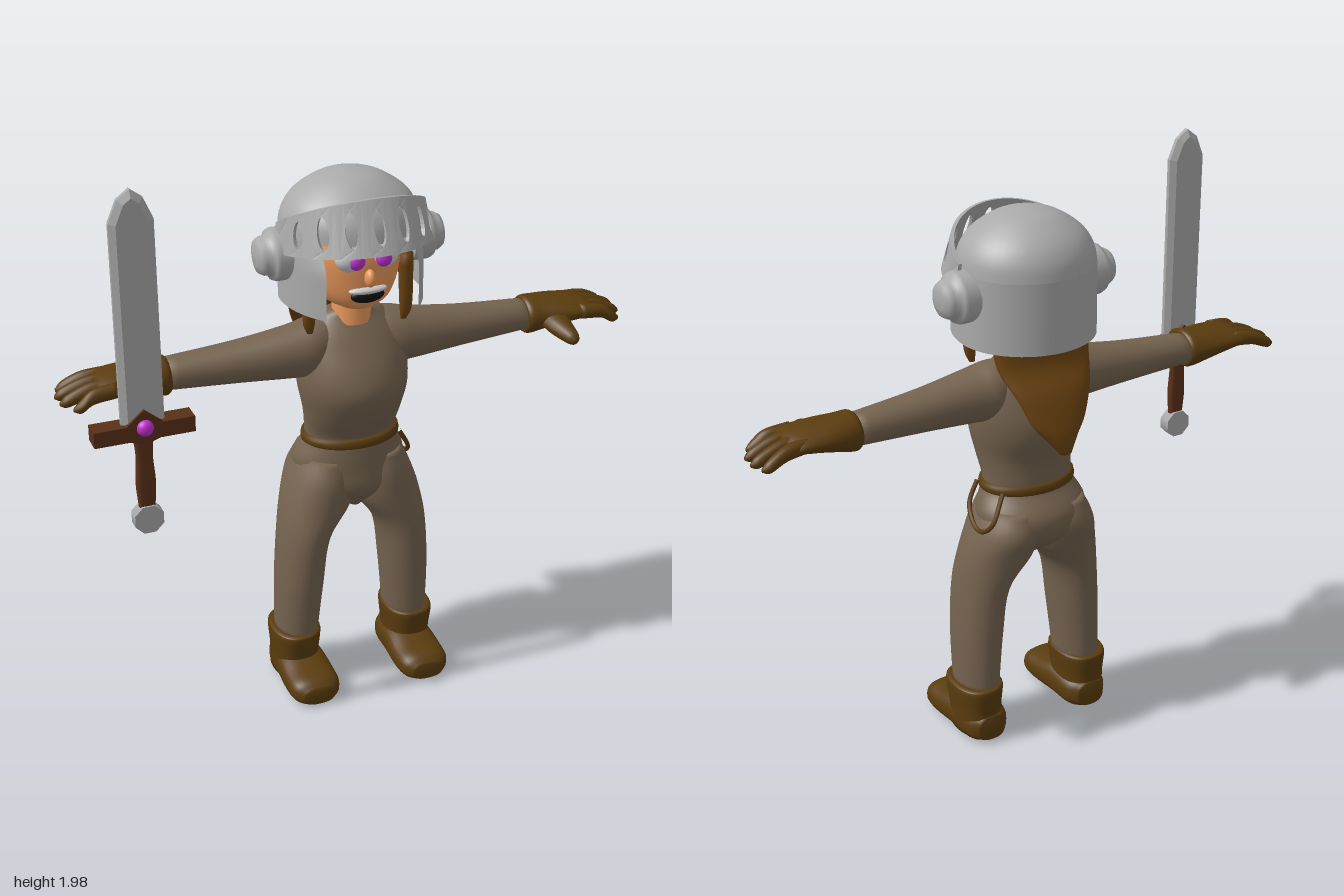
import * as THREE from 'three';
import { mergeVertices } from 'three/addons/utils/BufferGeometryUtils.js';

const COLORS = {
  suit: 0x75634f, leather: 0x5a3c0e, hair: 0x6a4210, skin: 0xe8985c, steel: 0xaaaaaa,
  wood: 0x5a3018, gem: 0xc030d0, grey: 0xcccccc, black: 0x111111,
};
const MATS = {};
for (const k in COLORS) MATS[k] = new THREE.MeshStandardMaterial({ color: COLORS[k] });
MATS.steel.side = THREE.DoubleSide;

// Smooth closed loft along an axis. Section: [t, c1, c2, r1, r2]
// (axis x: y,z   axis y: x,z   axis z: x,y); power > 1 squares the outline.
function loft(axis, sections, { sides = 28, steps = 5, square = 1 } = {}) {
  const V = (a, b, c) => new THREE.Vector3(a, b, c);
  const mid = new THREE.CatmullRomCurve3(sections.map(s => V(s[0], s[1], s[2])), false, 'catmullrom', 0.5);
  const rad = new THREE.CatmullRomCurve3(sections.map(s => V(s[3], s[4], 0)), false, 'catmullrom', 0.5);
  const n = (sections.length - 1) * steps, pos = [], idx = [];
  const put = (t, p, q) => pos.push(...(axis === 'x' ? [t, p, q] : axis === 'y' ? [p, t, q] : [p, q, t]));
  const bend = v => Math.sign(v) * Math.abs(v) ** (1 / square);
  for (let i = 0; i <= n; i++) {
    const c = mid.getPoint(i / n), r = rad.getPoint(i / n);
    for (let j = 0; j < sides; j++) {
      const a = (axis === 'y' ? -1 : 1) * j / sides * Math.PI * 2;
      put(c.x, c.y + Math.max(r.x, 0.001) * bend(Math.cos(a)), c.z + Math.max(r.y, 0.001) * bend(Math.sin(a)));
    }
  }
  for (let i = 0; i < n; i++) for (let j = 0; j < sides; j++) {
    const a = i * sides + j, b = i * sides + (j + 1) % sides;
    idx.push(a, b, b + sides, a, b + sides, a + sides);
  }
  // end caps
  const first = sections[0], last = sections[sections.length - 1], k = (n + 1) * sides;
  put(first[0], first[1], first[2]);
  put(last[0], last[1], last[2]);
  for (let j = 0; j < sides; j++) {
    const m = (j + 1) % sides;
    idx.push(k, m, j, k + 1, n * sides + j, n * sides + m);
  }
  const g = new THREE.BufferGeometry();
  g.setAttribute('position', new THREE.Float32BufferAttribute(pos, 3));
  g.setIndex(idx);
  g.computeVertexNormals();
  return g;
}

function mirrored(geo) {
  const g = geo.index ? geo.clone() : mergeVertices(geo);
  g.scale(-1, 1, 1);
  const a = g.index.array;
  for (let i = 0; i < a.length; i += 3) [a[i], a[i + 1]] = [a[i + 1], a[i]];
  return g;
}

function warp(geo, fn) {
  const p = geo.attributes.position, v = new THREE.Vector3();
  for (let i = 0; i < p.count; i++) {
    fn(v.fromBufferAttribute(p, i));
    p.setXYZ(i, v.x, v.y, v.z);
  }
  geo.computeVertexNormals();
  return geo;
}

const blob = (rx, ry, rz, x, y, z) => new THREE.SphereGeometry(1, 24, 16).scale(rx, ry, rz).translate(x, y, z);

function polygon(points, depth, z, bevel) {
  const shape = new THREE.Shape(points.map(p => new THREE.Vector2(...p)));
  return new THREE.ExtrudeGeometry(shape, { depth, bevelEnabled: !!bevel, bevelSegments: 1, ...bevel }).translate(0, 0, z);
}

export function createModel() {
  const model = new THREE.Group();
  const add = (parent, name, geo, mat) => {
    const m = new THREE.Mesh(geo, MATS[mat]);
    m.name = name;
    parent.add(m);
    return m;
  };
  const pair = (parent, name, geo, mat) => {
    add(parent, name + 'Left', geo, mat);
    add(parent, name + 'Right', mirrored(geo), mat);
  };
  const group = (name, x = 0, y = 0, z = 0) => {
    const g = new THREE.Group();
    g.name = name;
    g.position.set(x, y, z);
    model.add(g);
    return g;
  };

  // Body
  const body = group('body');
  add(body, 'torso', loft('y', [
    [0.68, 0, -0.03, 0.03, 0.06], [0.76, 0, -0.05, 0.16, 0.145], [0.85, 0, -0.06, 0.198, 0.155],
    [0.93, 0, -0.035, 0.165, 0.125], [0.97, 0, -0.035, 0.16, 0.12], [1.05, 0, -0.015, 0.17, 0.145],
    [1.14, 0, -0.012, 0.187, 0.175], [1.22, 0, -0.02, 0.19, 0.165], [1.32, 0, -0.03, 0.175, 0.115],
    [1.385, 0, -0.03, 0.12, 0.07], [1.41, 0, -0.02, 0.07, 0.055]], { sides: 40 }), 'suit');
  pair(body, 'leg', loft('y', [
    [0.18, 0.208, -0.035, 0.073, 0.1], [0.4, 0.197, -0.025, 0.083, 0.115], [0.58, 0.178, -0.025, 0.09, 0.125],
    [0.7, 0.128, -0.04, 0.122, 0.14], [0.8, 0.105, -0.058, 0.113, 0.155], [0.88, 0.09, -0.055, 0.09, 0.13]]), 'suit');
  pair(body, 'arm', loft('x', [
    [0.06, 1.29, -0.03, 0.1, 0.07], [0.14, 1.285, -0.025, 0.1, 0.095], [0.22, 1.279, -0.02, 0.089, 0.09],
    [0.4, 1.272, -0.025, 0.07, 0.075], [0.66, 1.268, -0.033, 0.052, 0.06]]), 'suit');
  add(body, 'neck', new THREE.CylinderGeometry(0.06, 0.068, 0.12, 24).translate(-0.004, 1.43, -0.01), 'skin');

  // Belt with a hanging loop
  add(body, 'belt', loft('y', [
    [0.928, 0, -0.035, 0.16, 0.12], [0.934, 0, -0.035, 0.172, 0.132],
    [0.958, 0, -0.035, 0.17, 0.13], [0.964, 0, -0.035, 0.157, 0.117]], { sides: 40, steps: 2 }), 'leather');
  const loop = [[0.155, 0.94, 0.03], [0.195, 0.87, 0.015], [0.212, 0.82, -0.04],
    [0.213, 0.81, -0.09], [0.2, 0.85, -0.14], [0.14, 0.94, -0.11]].map(p => new THREE.Vector3(...p));
  add(body, 'beltLoop', new THREE.TubeGeometry(new THREE.CatmullRomCurve3(loop), 30, 0.008, 8), 'leather');

  // Boots
  const boots = group('boots');
  pair(boots, 'bootShaft', loft('y', [
    [0.03, 0.212, -0.045, 0.08, 0.1], [0.12, 0.214, -0.038, 0.08, 0.105],
    [0.2, 0.214, -0.035, 0.086, 0.115], [0.214, 0.212, -0.035, 0.076, 0.105]], { square: 1.2 }), 'leather');
  pair(boots, 'bootFoot', warp(loft('z', [
    [-0.148, 0.207, 0.06, 0.05, 0.045], [-0.1, 0.207, 0.06, 0.08, 0.06], [0, 0.207, 0.065, 0.087, 0.065],
    [0.1, 0.207, 0.055, 0.092, 0.055], [0.17, 0.207, 0.052, 0.085, 0.048], [0.205, 0.207, 0.045, 0.055, 0.03]],
  { square: 1.3 }), v => { v.y = Math.max(v.y, 0.004); }), 'leather');

  // Gloves
  const gloves = group('gloves');
  pair(gloves, 'glovePalm', loft('x', [
    [0.635, 1.267, -0.03, 0.058, 0.068], [0.65, 1.267, -0.03, 0.066, 0.077], [0.69, 1.27, -0.03, 0.06, 0.084],
    [0.76, 1.276, -0.025, 0.048, 0.094], [0.84, 1.278, -0.02, 0.034, 0.096], [0.88, 1.274, -0.018, 0.022, 0.085]]), 'leather');
  [[-0.08, -0.1, 0.985], [-0.04, -0.05, 1], [0.005, 0.005, 0.995], [0.05, 0.062, 0.965]].forEach(([z0, z1, tip], i) =>
    pair(gloves, 'finger' + (i + 1), loft('x', [
      [0.82, 1.28, z0, 0.026, 0.026], [0.9, 1.272, (z0 + z1) / 2, 0.025, 0.023],
      [tip - 0.025, 1.248, z1, 0.021, 0.02], [tip, 1.24, z1, 0.006, 0.006]], { sides: 14 }), 'leather'));
  pair(gloves, 'thumb', loft('z', [
    [0.01, 0.735, 1.262, 0.06, 0.035], [0.08, 0.732, 1.25, 0.044, 0.032],
    [0.15, 0.742, 1.235, 0.025, 0.024], [0.172, 0.745, 1.23, 0.008, 0.008]], { sides: 16 }), 'leather');

  // Head and face
  const head = group('head', -0.007);
  add(head, 'face', loft('y', [
    [1.445, 0, 0.03, 0.06, 0.07], [1.48, 0, 0.02, 0.115, 0.12], [1.55, 0, 0.01, 0.148, 0.142],
    [1.65, 0, 0, 0.158, 0.152], [1.76, 0, -0.01, 0.13, 0.12]]), 'skin');
  pair(head, 'eye', blob(0.05, 0.046, 0.04, 0.058, 1.64, 0.13), 'grey');
  pair(head, 'iris', blob(0.027, 0.028, 0.02, 0.046, 1.636, 0.162), 'gem');
  add(head, 'nose', blob(0.018, 0.03, 0.026, 0, 1.573, 0.158), 'skin');
  add(head, 'mouth', blob(0.058, 0.026, 0.02, 0, 1.508, 0.138), 'black');
  add(head, 'upperTeeth', blob(0.066, 0.014, 0.025, 0, 1.528, 0.14), 'grey');

  // Hair: a hanging mass behind and a lock on each side
  add(head, 'backHair', loft('y', [
    [1.115, 0.0, -0.265, 0.02, 0.012], [1.17, 0.005, -0.247, 0.06, 0.028], [1.22, 0.005, -0.228, 0.1, 0.033],
    [1.31, 0, -0.187, 0.14, 0.038], [1.4, 0, -0.125, 0.175, 0.045], [1.52, 0, -0.1, 0.18, 0.06]]), 'hair');
  pair(head, 'sideLock', loft('y', [
    [1.365, 0.165, 0.05, 0.01, 0.008], [1.42, 0.17, 0.055, 0.022, 0.018], [1.6, 0.165, 0.06, 0.025, 0.03]], { sides: 12 }), 'hair');

  // Helmet: dome above, open-fronted wall below with cheeks pushed forward
  const helmet = group('helmet', -0.007, 0, -0.02);
  const dome = new THREE.SplineCurve([[0.233, 1.7], [0.222, 1.755], [0.185, 1.81], [0.11, 1.86], [0.04, 1.879], [0, 1.882]]
    .map(p => new THREE.Vector2(...p))).getPoints(20);
  dome.forEach(p => { p.x = Math.max(p.x, 0); });
  add(helmet, 'helmetDome', new THREE.LatheGeometry(dome, 48).scale(1, 1, 0.95), 'steel');
  const wall = Array.from({ length: 13 }, (_, i) => new THREE.Vector2(0.235 - 0.002 * i / 12, 1.46 + 0.02 * i));
  const gap = 0.74;
  add(helmet, 'helmetWall', warp(
    new THREE.LatheGeometry(wall, 48, gap, Math.PI * 2 - 2 * gap).scale(1, 1, 0.95), v => {
      if (v.z > 0) v.z *= 1 + 0.24 * (1 - THREE.MathUtils.smoothstep(v.y, 1.6, 1.7));
    }), 'steel');
  const ear = [[0.087, 0.2], [0.087, 0.262], [0.082, 0.275], [0.064, 0.28], [0.064, 0.3], [0.055, 0.316], [0.03, 0.324], [0, 0.326]];
  pair(helmet, 'earDisc', new THREE.LatheGeometry(ear.map(p => new THREE.Vector2(...p)), 32)
    .rotateZ(-Math.PI / 2).translate(0, 1.628, 0), 'steel');

  // Raised visor: curved cells, the front six pierced by a slot
  const cell = Math.PI / 9;
  for (let i = 0; i < 9; i++) {
    const mid = (i - 4) * cell * 1, shape = new THREE.Shape();
    const half = cell / 2;
    for (let k = 0; k <= 6; k++) shape[k ? 'lineTo' : 'moveTo'](mid - half + cell * k / 6, 0);
    for (let k = 6; k >= 0; k--) shape.lineTo(mid - half + cell * k / 6, 1);
    shape.closePath();
    if (Math.abs(i - 4) < 4) {
      const slot = new THREE.Path();
      slot.absellipse(mid, 0.5, 0.075, 0.33, 0, Math.PI * 2, true);
      shape.holes.push(slot);
    }
    const g = new THREE.ExtrudeGeometry(shape, { depth: 1, bevelEnabled: false, curveSegments: 10 });
    add(helmet, 'visorPanel' + (i + 1), warp(g, v => {
      const a = v.x, t = v.y, r = 0.95 + 0.05 * v.z, c = Math.cos(a), up = THREE.MathUtils.lerp;
      v.set(r * up(0.265, 0.25, t) * Math.sin(a), up(1.64 + 0.05 * c, 1.735 + 0.115 * c, t), r * up(0.295, 0.215, t) * c);
    }), 'steel');
  }

  // Sword
  const sword = group('sword', -0.777, 0, 0.17);
  add(sword, 'blade', polygon([[-0.07, 1.2], [0.07, 1.2], [0.07, 1.88], [0.04, 1.95], [0, 1.98], [-0.04, 1.95], [-0.07, 1.88]],
    0.014, -0.007, { bevelThickness: 0.014, bevelSize: 0.02, bevelOffset: -0.02 }), 'steel');
  add(sword, 'guard', polygon([[-0.163, 1.167], [-0.05, 1.167], [0, 1.15], [0.05, 1.167], [0.163, 1.167],
    [0.163, 1.22], [0.06, 1.22], [0, 1.27], [-0.06, 1.22], [-0.163, 1.22]], 0.066, -0.035), 'wood');
  add(sword, 'grip', loft('y', [[0.9, 0, 0, 0.025, 0.015], [1.0, 0, 0, 0.032, 0.018],
    [1.1, 0, 0, 0.027, 0.016], [1.18, 0, 0, 0.035, 0.018]], { square: 1.6 }), 'wood');
  add(sword, 'pommel', new THREE.CylinderGeometry(0.051, 0.051, 0.045, 8).toNonIndexed()
    .rotateX(Math.PI / 2).rotateZ(Math.PI / 8).translate(0, 0.876, 0), 'steel');
  for (const s of [-1, 1]) add(sword, s > 0 ? 'frontGem' : 'backGem', blob(0.027, 0.027, 0.022, 0, 1.21, s * 0.034), 'gem');

  return model;
}
